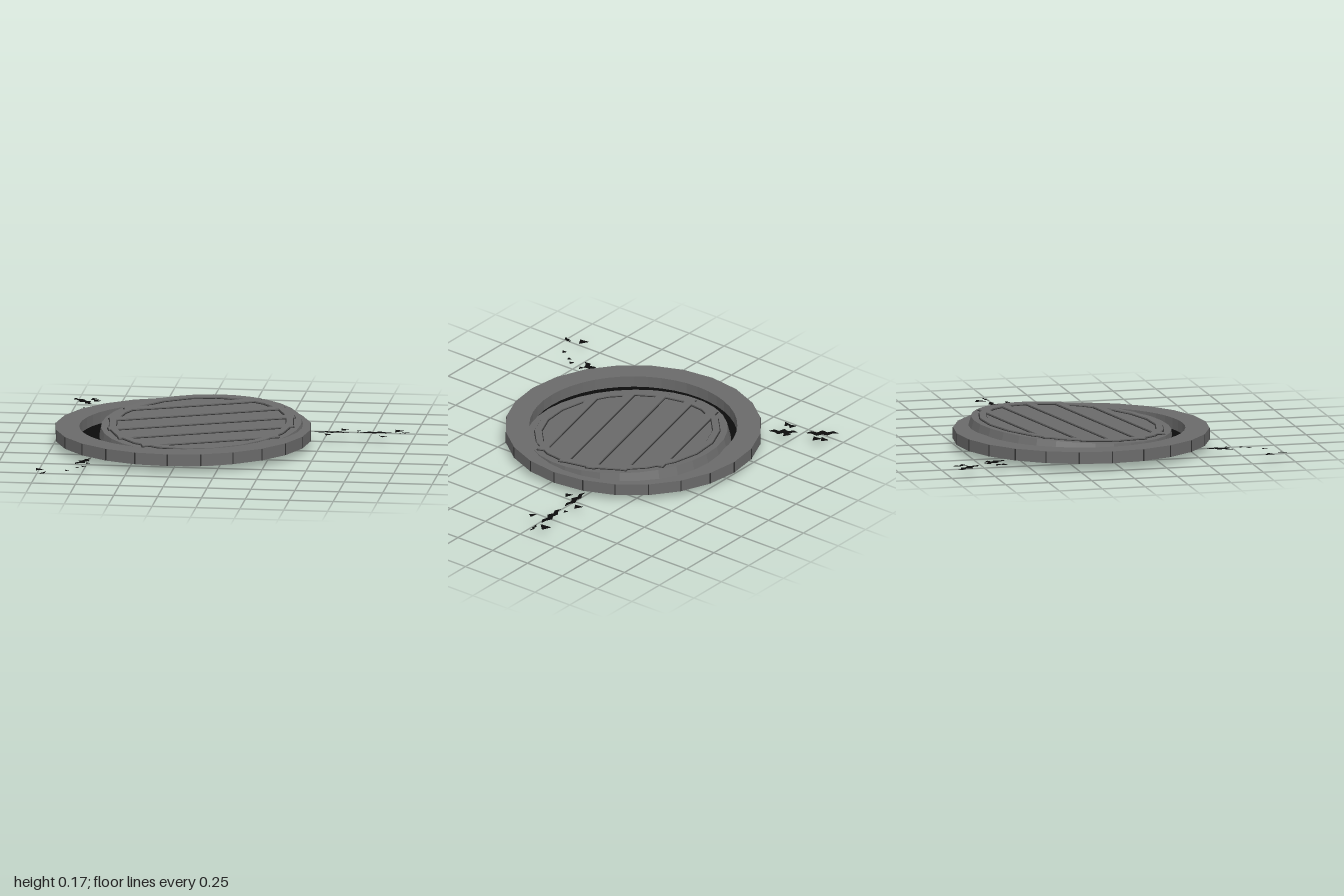
import * as THREE from 'three';

const stone = new THREE.MeshStandardMaterial({ color: 0x6a6a6a, flatShading: true });
stone.name = 'grey metal';
const seam = new THREE.MeshStandardMaterial({ color: 0x303030, flatShading: true });
seam.name = 'dark seam';
const black = new THREE.MeshStandardMaterial({ color: 0x0b0b0b, side: THREE.DoubleSide });
black.name = 'black';

function add(parent, name, geometry, material, x = 0, y = 0, z = 0) {
  const mesh = new THREE.Mesh(geometry, material);
  mesh.name = name;
  mesh.position.set(x, y, z);
  parent.add(mesh);
  return mesh;
}

function circlePoints(radius, sides) {
  return Array.from({ length: sides }, (_, i) => {
    const a = (i / sides) * Math.PI * 2;
    return new THREE.Vector2(Math.cos(a) * radius, Math.sin(a) * radius);
  });
}

// Flat polygonal ring standing on y = 0
function ringGeometry(outer, inner, outerSides, innerSides, height) {
  const shape = new THREE.Shape(circlePoints(outer, outerSides));
  shape.holes.push(new THREE.Path(circlePoints(inner, innerSides)));
  return new THREE.ExtrudeGeometry(shape, { depth: height, bevelEnabled: false }).rotateX(-Math.PI / 2);
}

// Flat shape given in (x, z), laid horizontally
function flatShape(points) {
  const shape = new THREE.Shape(points.map(([x, z]) => new THREE.Vector2(x, -z)));
  return new THREE.ShapeGeometry(shape).rotateX(-Math.PI / 2);
}

// Jagged tapering crack between two ground points
function crackGeometry([x0, z0, x1, z1, width]) {
  const length = Math.hypot(x1 - x0, z1 - z0);
  const nx = -(z1 - z0) / length, nz = (x1 - x0) / length;
  const wobble = [0, 0.25, -0.2, 0.2, -0.3, 0.15, 0];
  const half = [0.05, 0.3, 0.42, 0.55, 0.45, 0.35, 0.05];
  const side = (sign) => wobble.map((w, i) => {
    const t = i / (wobble.length - 1);
    const d = (w + sign * half[i]) * width;
    return [x0 + (x1 - x0) * t + nx * d, z0 + (z1 - z0) * t + nz * d];
  });
  return flatShape([...side(1), ...side(-1).reverse()]);
}

function createFrame() {
  const frame = new THREE.Group();
  frame.name = 'frame';
  frame.position.set(-0.27, 0, -0.065);
  const R = 0.725;
  add(frame, 'frameRing', ringGeometry(R, 0.588, 24, 48, 0.068), stone, 0, 0.042, 0);
  // Dark joints at the corners of the outer wall
  for (let i = 0; i < 24; i++) {
    const a = (i / 24) * Math.PI * 2;
    const joint = add(frame, 'frameJoint', new THREE.BoxGeometry(0.005, 0.066, 0.007), seam,
      Math.cos(a) * (R - 0.001), 0.076, Math.sin(a) * (R - 0.001));
    joint.rotation.y = -a;
  }
  add(frame, 'holeFloor', new THREE.CircleGeometry(0.588, 48).rotateX(-Math.PI / 2), black, 0, 0.044, 0);
  return frame;
}

function createCover() {
  const cover = new THREE.Group();
  cover.name = 'cover';
  cover.position.set(-0.17, 0.043, -0.105);
  cover.rotation.set(0.07, 0, 0.02);
  const T = 0.078;
  add(cover, 'coverDisc', new THREE.CylinderGeometry(0.568, 0.585, T, 32), stone, 0, T / 2, 0);

  // Raised pattern, each piece on a slightly wider dark footing
  const pattern = new THREE.Group();
  pattern.name = 'coverPattern';
  pattern.position.y = T;
  pattern.rotation.y = Math.PI / 12;
  cover.add(pattern);
  for (const [grow, height, material, label] of [[0, 0.01, stone, 'raised'], [0.005, 0.003, seam, 'footing']]) {
    add(pattern, label + 'Ring', ringGeometry(0.525 + grow, 0.487 - grow, 20, 20, height), material);
    for (let i = -2; i <= 2; i++) {
      const z = i * 0.18;
      const length = 2 * Math.sqrt(0.53 ** 2 - z * z) + grow * 2;
      add(pattern, label + 'Rib', new THREE.BoxGeometry(length, height, 0.052 + grow * 2), material, 0, height / 2, z);
    }
  }
  return cover;
}

function createCracks() {
  const cracks = new THREE.Group();
  cracks.name = 'groundCracks';
  cracks.position.y = 0.048;
  // x0, z0, x1, z1, width
  const lines = [
    [0.45, -0.285, 0.645, -0.295, 0.032], [0.69, -0.3, 0.885, -0.315, 0.036], [0.92, -0.31, 1, -0.325, 0.014],
    [-1, -0.965, -0.89, -0.82, 0.045], [-0.865, -0.78, -0.78, -0.64, 0.045],
    [-0.72, 0.55, -0.79, 0.69, 0.042], [-0.93, 0.91, -0.955, 0.965, 0.02],
  ];
  for (const line of lines) add(cracks, 'crack', crackGeometry(line), black);
  // Loose chips: x, z, size, turn
  const chips = [
    [0.615, -0.36, 0.05, 0], [0.7, -0.34, 0.028, 0], [0.91, -0.365, 0.062, 2.2], [0.535, -0.23, 0.045, 0.2],
    [0.85, -0.22, 0.04, 0.4], [-0.895, -0.95, 0.048, 2], [-0.865, -0.91, 0.052, 0], [-0.8, -0.745, 0.045, 0],
    [-0.9, -0.71, 0.045, 0.2], [-0.91, -0.675, 0.045, 2], [-0.72, 0.665, 0.03, 0], [-0.735, 0.745, 0.03, 0.2],
    [-0.77, 0.785, 0.027, 1.8], [-0.82, 0.86, 0.03, 2.1], [-0.97, 0.85, 0.055, 0],
  ];
  for (const [x, z, s, turn] of chips) {
    const chip = add(cracks, 'chip', flatShape([[-s / 2, -s / 2], [s / 2, s * 0.1], [-s * 0.35, s * 0.6]]), black, x, 0, z);
    chip.rotation.y = turn;
  }
  return cracks;
}

export function createModel() {
  const model = new THREE.Group();
  model.name = 'manhole';
  model.add(createFrame(), createCover(), createCracks());
  return model;
}
